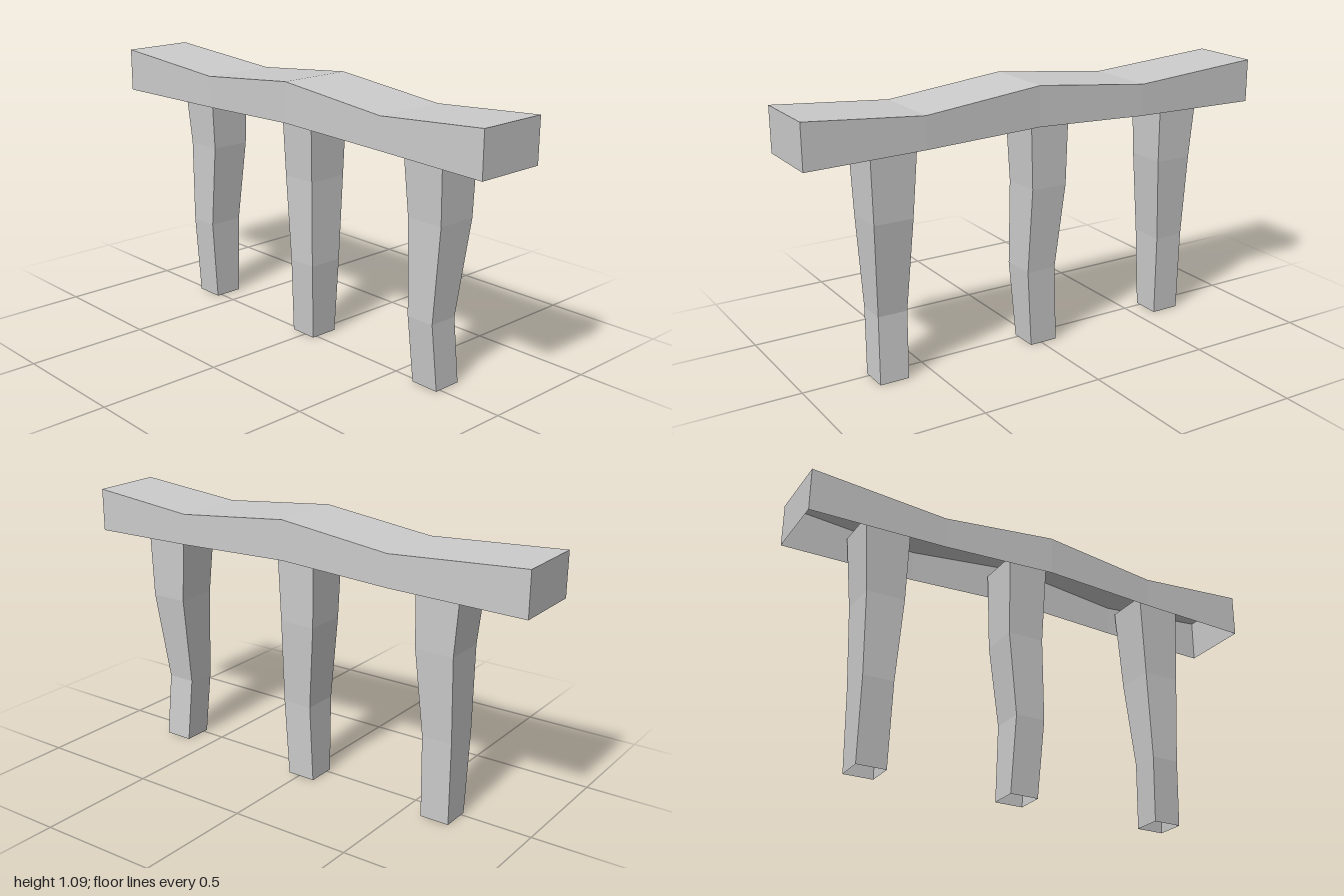
import * as THREE from 'three';

const material = new THREE.MeshStandardMaterial({
  color: 0xcccccc, flatShading: true, side: THREE.DoubleSide,
});

// Skin a row of cross-sections with quads; closed joins the last corner to the first.
function loft(name, rings, closed, capEnds) {
  const positions = [];
  const quad = (a, b, c, d) => positions.push(...a, ...b, ...c, ...a, ...c, ...d);
  const n = rings[0].length;
  for (let i = 0; i < rings.length - 1; i++) {
    const r = rings[i], s = rings[i + 1];
    for (let j = 0; j < (closed ? n : n - 1); j++) {
      const k = (j + 1) % n;
      quad(r[j], r[k], s[k], s[j]);
    }
  }
  if (capEnds) {
    const r = rings[0], s = rings[rings.length - 1];
    quad(r[3], r[2], r[1], r[0]);
    quad(s[0], s[1], s[2], s[3]);
  }
  const geometry = new THREE.BufferGeometry();
  geometry.setAttribute('position', new THREE.Float32BufferAttribute(positions, 3));
  geometry.computeVertexNormals();
  const mesh = new THREE.Mesh(geometry, material);
  mesh.name = name;
  return mesh;
}

// Wavy hollow beam, open underneath: [x, bottom, top, back z, front z]
function createBeam() {
  const stations = [
    [-1, 0.895, 1.073, -0.148, 0.147],
    [-0.44, 0.906, 1.035, -0.157, 0.146],
    [0.04, 0.924, 1.085, -0.149, 0.156],
    [0.53, 0.908, 1.035, -0.157, 0.146],
    [1, 0.895, 1.073, -0.148, 0.147],
  ];
  const rings = stations.map(([x, bottom, top, back, front]) => [
    [x, bottom, back], [x, top, back], [x, top, front], [x, bottom, front],
  ]);
  // Reversed corner order keeps the outside facing outwards
  return loft('beam', rings.map((r) => r.reverse()), false, true);
}

// Crooked square post, open at both ends: [y, x min, x max, back z, front z]
function createLeg(name, levels) {
  const rings = levels.map(([y, x0, x1, back, front]) => [
    [x0, y, front], [x1, y, front], [x1, y, back], [x0, y, back],
  ]);
  return loft(name, rings, true, false);
}

export function createModel() {
  const group = new THREE.Group();
  group.name = 'beamOnPosts';
  group.add(createBeam());

  group.add(createLeg('rightLeg', [
    [0, -0.703, -0.582, -0.1, 0.02],
    [0.34, -0.706, -0.58, -0.106, 0.042],
    [0.69, -0.711, -0.552, -0.13, 0.04],
    [1.0, -0.737, -0.548, -0.137, 0.056],
  ]));
  group.add(createLeg('middleLeg', [
    [0, -0.07, 0.05, -0.1, 0.02],
    [0.32, -0.058, 0.068, -0.105, 0.042],
    [0.67, -0.091, 0.062, -0.13, 0.04],
    [1.01, -0.098, 0.074, -0.137, 0.056],
  ]));
  group.add(createLeg('leftLeg', [
    [0, 0.605, 0.725, -0.1, 0.02],
    [0.27, 0.593, 0.714, -0.08, 0.043],
    [0.65, 0.579, 0.738, -0.13, 0.04],
    [1.0, 0.552, 0.746, -0.137, 0.056],
  ]));
  return group;
}
